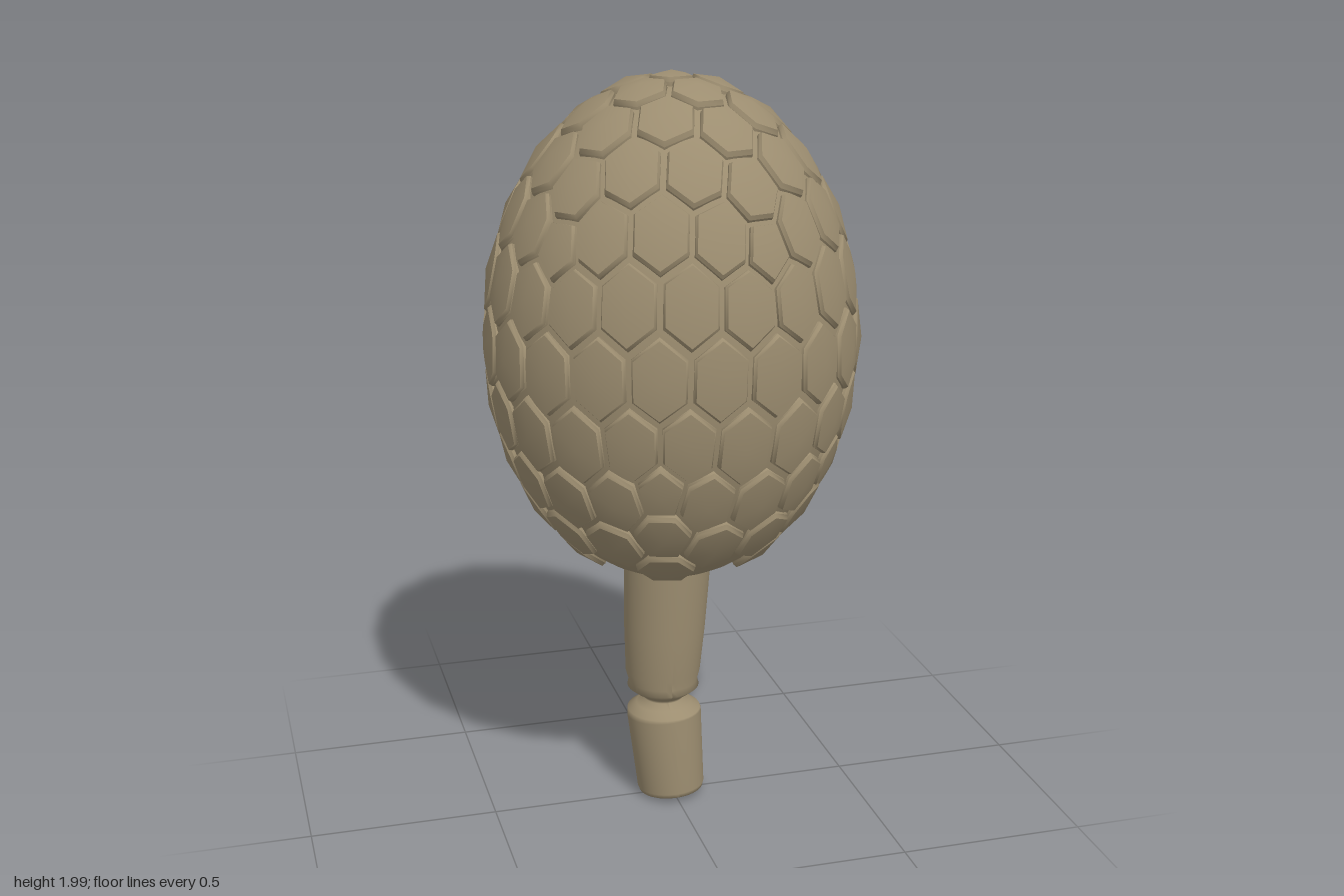
import * as THREE from 'three';
import { mergeVertices, mergeGeometries } from 'three/addons/utils/BufferGeometryUtils.js';

const RADII = new THREE.Vector3(0.494, 0.68, 0.466);
const CENTRE_Y = 1.32;
const lerp = THREE.MathUtils.lerp;

// Geodesic sphere with a corner at each pole and one ring corner on +x
function geodesicSphere() {
  const verts = [0, 1, 0], faces = [];
  const r = 2 / Math.sqrt(5), h = 1 / Math.sqrt(5);
  for (const [y, offset] of [[h, 0], [-h, Math.PI / 5]]) {
    for (let i = 0; i < 5; i++) {
      const a = offset + i * Math.PI * 0.4;
      verts.push(r * Math.cos(a), y, r * Math.sin(a));
    }
  }
  verts.push(0, -1, 0);
  for (let i = 0; i < 5; i++) {
    const j = (i + 1) % 5, a = 1 + i, b = 1 + j, c = 6 + i, d = 6 + j;
    faces.push(0, b, a, a, b, c, b, d, c, 11, c, d);
  }
  const geo = new THREE.PolyhedronGeometry(verts, faces, 1, 3);
  geo.deleteAttribute('normal');
  geo.deleteAttribute('uv');
  return mergeVertices(geo, 1e-4);
}

// One domed plate with bevelled rim, around centre c with sorted corner points
function plateGeometry(c, corners) {
  const n = corners.length;
  const ring = (grow, sink) => corners.map((p) => c.clone().lerp(p, grow).multiplyScalar(sink));
  const face = ring(0.83, 1), bevel = ring(0.9, 0.983), base = ring(0.93, 0.945);
  const points = [c, ...face, ...face, ...bevel, ...bevel, ...base];
  const index = [];
  for (let i = 0; i < n; i++) {
    const j = (i + 1) % n;
    index.push(0, 1 + i, 1 + j);
    for (const start of [1 + n, 1 + 3 * n]) {
      const a = start + i, b = start + j;
      index.push(a, a + n, b + n, a, b + n, b);
    }
  }
  const geo = new THREE.BufferGeometry().setFromPoints(points.map((p) => p.clone().multiply(RADII)));
  geo.setIndex(index);
  geo.computeVertexNormals();
  return geo;
}

// Hexagons and pentagons: one plate per corner of the geodesic sphere
function platesGeometry() {
  const sphere = geodesicSphere();
  const pos = sphere.attributes.position, idx = sphere.index;
  const around = Array.from({ length: pos.count }, () => []);
  const at = (i) => new THREE.Vector3().fromBufferAttribute(pos, i);
  for (let f = 0; f < idx.count; f += 3) {
    const ids = [idx.getX(f), idx.getX(f + 1), idx.getX(f + 2)];
    const mid = new THREE.Vector3();
    ids.forEach((i) => mid.addScaledVector(at(i), 1 / 3));
    ids.forEach((i) => around[i].push(mid));
  }
  const plates = [];
  around.forEach((corners, i) => {
    const c = at(i);
    if (c.y < -0.87) return; // bare patch round the stem
    const u = corners[0].clone().addScaledVector(c, -corners[0].dot(c)).normalize();
    const v = c.clone().cross(u);
    const angle = (p) => Math.atan2(p.dot(v), p.dot(u));
    plates.push(plateGeometry(c, [...corners].sort((a, b) => angle(a) - angle(b))));
  });
  return mergeGeometries(plates);
}

// Pinched stem: a turned profile whose axis wanders slightly
function stemGeometry() {
  const profile = [
    [0, 0.012], [0.075, 0.012], [0.088, 0.018], [0.092, 0.03], [0.097, 0.14], [0.102, 0.245], [0.1, 0.258],
    [0.075, 0.274], [0.053, 0.289], [0.058, 0.298], [0.08, 0.313], [0.098, 0.328],
    [0.094, 0.345], [0.102, 0.375], [0.11, 0.5], [0.117, 0.69], [0.117, 0.76],
  ].map(([r, y]) => new THREE.Vector2(r, y));
  const geo = new THREE.LatheGeometry(profile, 40);
  const p = geo.attributes.position;
  const axis = [[0, 0, 0], [0.25, -0.018, -0.015], [0.37, -0.022, -0.013], [0.76, -0.007, -0.008]];
  for (let i = 0; i < p.count; i++) {
    const x = p.getX(i), y = p.getY(i), z = p.getZ(i);
    const k = y < 0.25 ? 0 : y < 0.37 ? 1 : 2;
    const [a, b] = [axis[k], axis[k + 1]];
    const t = (y - a[0]) / (b[0] - a[0]);
    const tilt = y < 0.25 ? 0.06 * (x + z) : 0; // slanted foot
    p.setXYZ(i, x + lerp(a[1], b[1], t), y + tilt, z + lerp(a[2], b[2], t));
  }
  geo.computeVertexNormals();
  return geo;
}

export function createModel() {
  const group = new THREE.Group();
  const material = new THREE.MeshStandardMaterial({ color: 0x9c8d70 });
  const add = (name, geometry, y = 0) => {
    const mesh = new THREE.Mesh(geometry, material);
    mesh.name = name;
    mesh.position.y = y;
    group.add(mesh);
    return mesh;
  };

  // Smooth body showing in the grooves and round the stem
  const core = add('core', new THREE.SphereGeometry(1, 48, 32), CENTRE_Y);
  core.scale.copy(RADII).multiplyScalar(0.957);

  add('plates', platesGeometry(), CENTRE_Y);
  add('stem', stemGeometry());
  return group;
}
